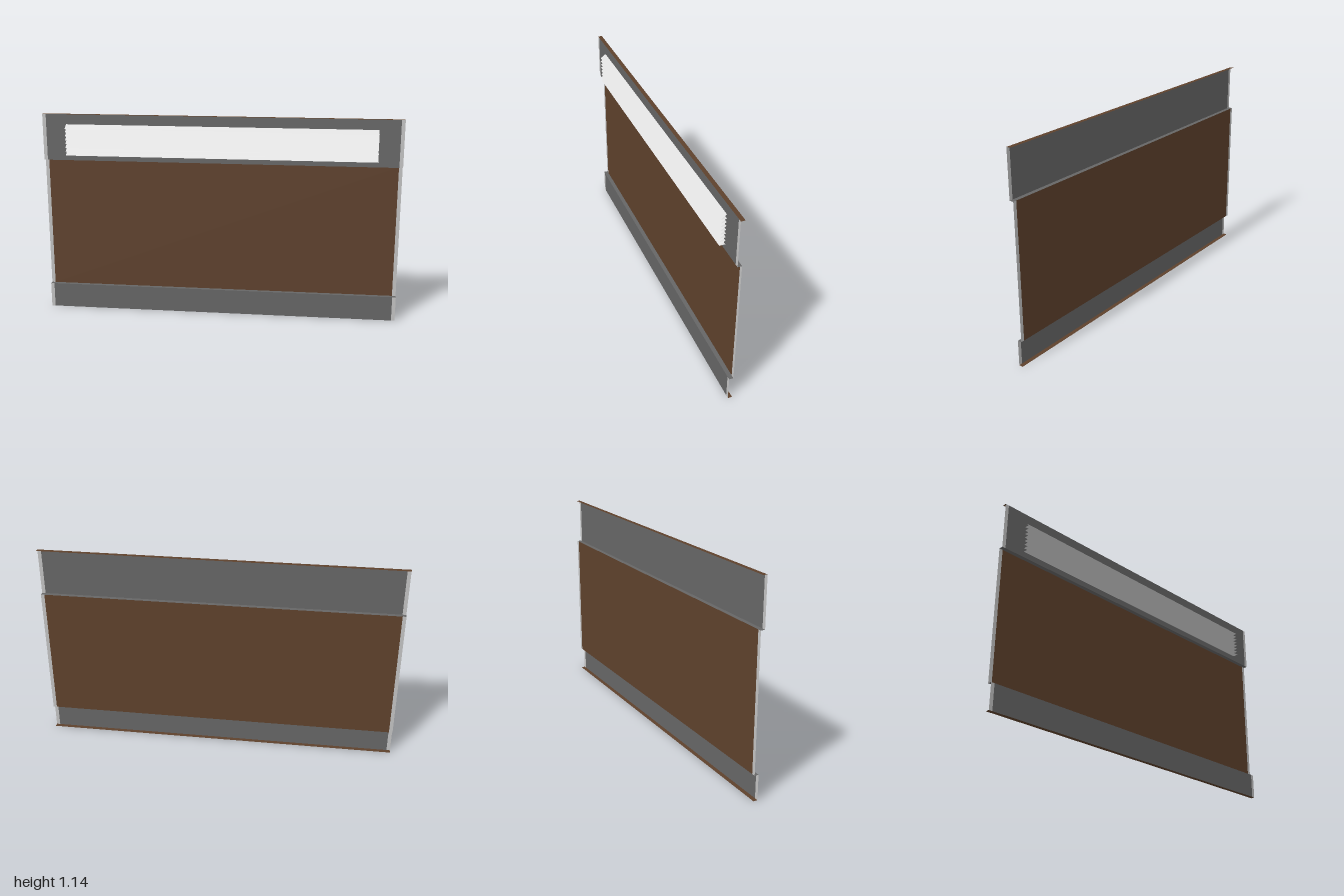
import * as THREE from 'three';

const material = (name, color) => {
  const m = new THREE.MeshStandardMaterial({ color, side: THREE.DoubleSide });
  m.name = name;
  return m;
};

// Flat sheet from x0 to x1, spanning from [y, z] to [y, z]
function sheet(name, x0, x1, [ya, za], [yb, zb], mat) {
  const dy = yb - ya, dz = zb - za;
  const geo = new THREE.PlaneGeometry(x1 - x0, Math.hypot(dy, dz));
  geo.rotateX(Math.atan2(dz, dy));
  geo.translate((x0 + x1) / 2, (ya + yb) / 2, (za + zb) / 2);
  const mesh = new THREE.Mesh(geo, mat);
  mesh.name = name;
  return mesh;
}

export function createModel() {
  const grey = material('dark grey', 0x666666);
  const brown = material('brown', 0x5e412c);
  const trim = material('light grey trim', 0xc2c2c2);
  const white = material('pale slat', 0xdedede);

  const model = new THREE.Group();
  model.name = 'foldedWallPanel';
  const back = -0.027, front = -0.004, inner = 0.98;
  const y = [0, 0.14, 0.88, 1.14];

  // Upright bands, each with a light trim strip at both ends
  const bands = [
    ['lowerBand', y[0], y[1], front, grey],
    ['middlePanel', y[1], y[2], back, brown],
    ['upperBand', y[2], y[3], front, grey],
  ];
  for (const [name, y0, y1, z, mat] of bands) {
    model.add(sheet(name, -inner, inner, [y0, z], [y1, z], mat));
    model.add(sheet(name + 'TrimRight', -1, -inner, [y0, z], [y1, z], trim));
    model.add(sheet(name + 'TrimLeft', inner, 1, [y0, z], [y1, z], trim));
  }

  // Level folds: brown lips at top and bottom, grey steps between the bands
  const names = ['bottomLip', 'lowerStep', 'upperStep', 'topLip'];
  names.forEach((name, i) => {
    const mat = name.endsWith('Lip') ? brown : grey;
    model.add(sheet(name, -1, 1, [y[i], front], [y[i], back], mat));
  });

  // Louvred vent: each slat slopes outward and folds back to the wall
  const vent = new THREE.Group();
  vent.name = 'vent';
  const count = 8, low = 0.912, high = 1.084, out = 0.027, half = 0.865;
  const pitch = (high - low) / count;
  for (let i = 0; i < count; i++) {
    const base = low + i * pitch;
    vent.add(sheet('slat', -half, half, [base, out], [base + pitch, front], white));
    vent.add(sheet('slatUnderside', -half, half, [base, out], [base, front], white));
  }
  model.add(vent);
  return model;
}
